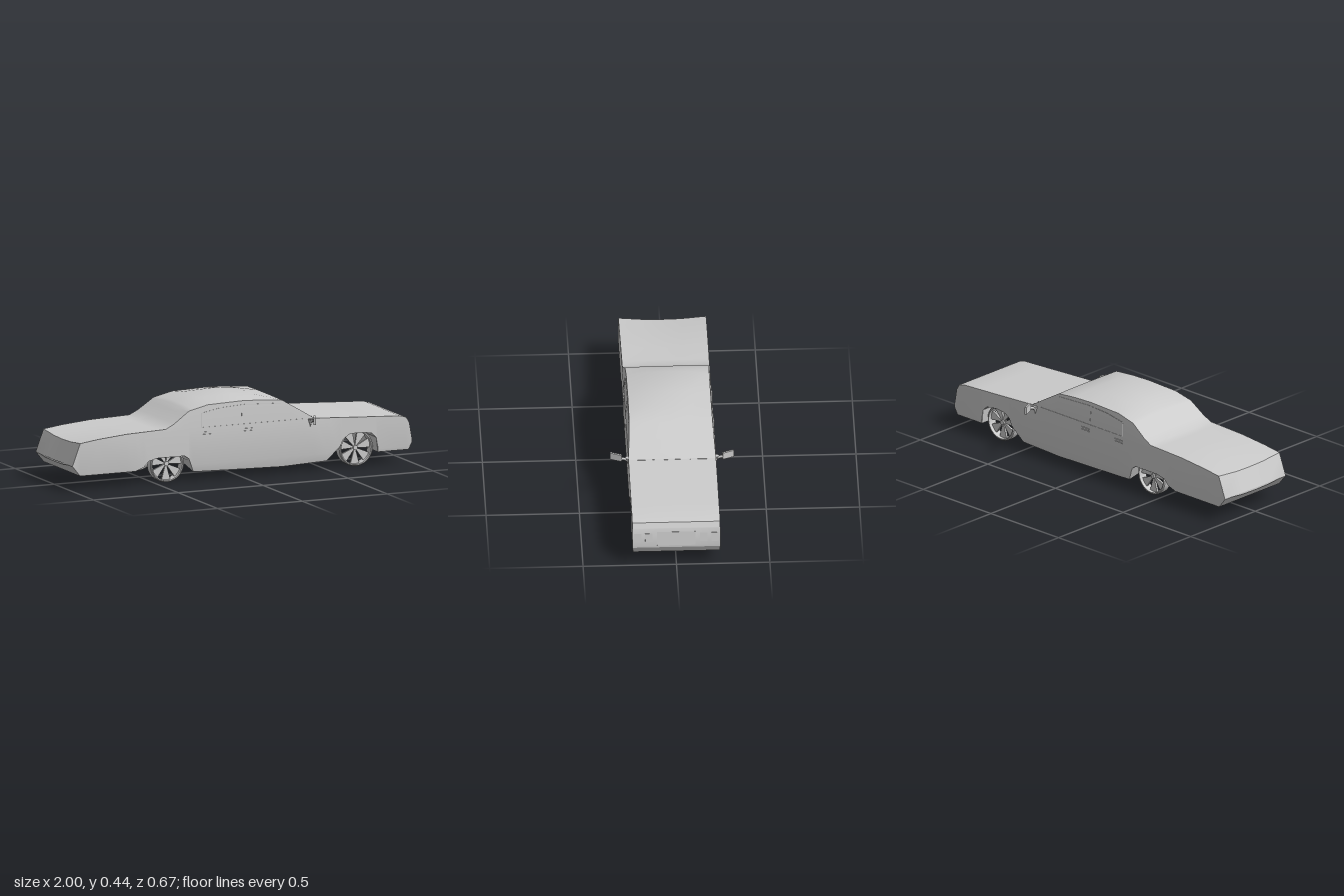
import * as THREE from 'three';
import { toCreasedNormals } from 'three/addons/utils/BufferGeometryUtils.js';

const material = new THREE.MeshStandardMaterial({ color: 0xcccccc, side: THREE.DoubleSide });

// Half width of the body at height y: tucked sills, upright flanks, leaning cabin.
function halfWidth(y) {
  if (y > 0.28) return 0.235 - (y - 0.28) * 0.1;
  if (y < 0.09) return 0.235 - (0.09 - y) * 0.24;
  return 0.235;
}

function add(parent, name, geometry, x = 0, y = 0, z = 0) {
  const mesh = new THREE.Mesh(geometry, material);
  mesh.name = name;
  mesh.position.set(x, y, z);
  parent.add(mesh);
  return mesh;
}

// Linear lookup in a list of [x, y] points
function at(points, x) {
  for (let i = 1; i < points.length; i++) {
    const [x0, y0] = points[i - 1], [x1, y1] = points[i];
    if (x <= x1) return y0 + (y1 - y0) * (x - x0) / (x1 - x0);
  }
  return points[points.length - 1][1];
}

// Side silhouette: top edge and underside with wheel arches
const TOP = [[-1, 0.14], [-0.955, 0.258], [-0.85, 0.272], [-0.68, 0.287], [-0.45, 0.295], [-0.4, 0.32],
  [-0.31, 0.382], [-0.2, 0.407], [0, 0.413], [0.12, 0.409], [0.24, 0.398], [0.33, 0.345], [0.425, 0.287],
  [0.7, 0.272], [0.93, 0.26], [0.965, 0.25], [0.983, 0.22], [1, 0.125]];
const BOTTOM = [[-1, 0.135], [-0.955, 0.08], [-0.63, 0.08], [-0.58, 0.1], [-0.55, 0.13], [-0.5, 0.142],
  [-0.34, 0.142], [-0.315, 0.125], [-0.285, 0.05], [0, 0.042], [0.24, 0.036], [0.5, 0.047], [0.575, 0.12],
  [0.595, 0.16], [0.63, 0.183], [0.69, 0.189], [0.76, 0.18], [0.788, 0.155], [0.8, 0.073],
  [0.98, 0.073], [1, 0.113]];
const CROWN = [[-0.45, 0], [-0.31, 0.004], [-0.2, 0.02], [0, 0.022], [0.12, 0.014], [0.24, 0.002], [0.425, 0]];

function bodyGeometry() {
  const xs = [...new Set([...TOP, ...BOTTOM].map(p => p[0]))].sort((a, b) => a - b);
  const pos = [], index = [];
  let n = 0;
  for (const x of xs) {
    const top = at(TOP, x), low = at(BOTTOM, x);
    const crown = at(CROWN, x);
    const hollow = low < 0.06 ? 0.045 : 0;
    const belt = Math.max(low, Math.min(top, 0.28));
    const half = [[low, halfWidth(low)], [Math.min(belt, Math.max(low, 0.09)), 0.235],
      [belt, 0.235], [top, halfWidth(top)], [top + crown * 0.85, 0.1]];
    const loop = [[low + hollow, 0], ...half, [top + crown, 0],
      ...half.slice().reverse().map(([y, z]) => [y, -z])];
    n = loop.length;
    loop.forEach(([y, z]) => pos.push(x, y, z));
  }
  for (let i = 0; i < xs.length - 1; i++) {
    for (let j = 0; j < n; j++) {
      const a = i * n + j, b = i * n + (j + 1) % n;
      index.push(a, a + n, b, b, a + n, b + n);
    }
  }
  // Narrow end caps
  const last = (xs.length - 1) * n;
  for (let j = 1; j < n - 1; j++) {
    index.push(0, j, j + 1, last, last + j + 1, last + j);
  }
  const g = new THREE.BufferGeometry();
  g.setAttribute('position', new THREE.Float32BufferAttribute(pos, 3));
  g.setIndex(index);
  return toCreasedNormals(g, 0.45);
}

// Tyre ring with flared blades around a small hub
function makeWheel(name, x, z) {
  const wheel = new THREE.Group();
  wheel.name = name;
  const profile = [[0.088, -0.026], [0.094, -0.026], [0.099, -0.021], [0.1, -0.012], [0.1, 0.012],
    [0.099, 0.021], [0.094, 0.026], [0.088, 0.026], [0.088, -0.026]].map(p => new THREE.Vector2(...p));
  add(wheel, 'tyre', toCreasedNormals(new THREE.LatheGeometry(profile, 40), 0.6)).rotation.x = Math.PI / 2;
  add(wheel, 'hub', new THREE.CylinderGeometry(0.013, 0.013, 0.03, 16)).rotation.x = Math.PI / 2;
  const blade = new THREE.Shape();
  blade.moveTo(0.006, -0.003);
  blade.lineTo(0.087, -0.026);
  blade.lineTo(0.091, 0);
  blade.lineTo(0.087, 0.026);
  blade.lineTo(0.006, 0.003);
  const bladeGeometry = new THREE.ExtrudeGeometry(blade, { depth: 0.012, bevelEnabled: false });
  for (let i = 0; i < 7; i++) {
    add(wheel, 'wheelBlade', bladeGeometry, 0, 0, -0.006).rotation.z = (i + 0.25) * Math.PI * 2 / 7;
  }
  wheel.position.set(x, 0.1, z);
  return wheel;
}

// Thin trim lying on the flank between two side points
function sideTrim(parent, name, side, [x0, y0], [x1, y1]) {
  const a = new THREE.Vector3(x0, y0, side * halfWidth(y0));
  const b = new THREE.Vector3(x1, y1, side * halfWidth(y1));
  const mesh = add(parent, name, new THREE.BoxGeometry(0.003, 0.003, a.distanceTo(b)));
  mesh.position.copy(a).lerp(b, 0.5);
  mesh.lookAt(b);
}

export function createModel() {
  const car = new THREE.Group();
  car.name = 'sedan';
  add(car, 'body', bodyGeometry());

  for (const side of [1, -1]) {
    car.add(makeWheel('frontWheel', 0.683, side * 0.184));
    car.add(makeWheel('rearWheel', -0.43, side * 0.184));

    // Window outlines and centre pillar
    const outline = [[0.36, 0.288], [-0.24, 0.288], [-0.235, 0.365], [-0.12, 0.385], [0.02, 0.392], [0.23, 0.382]];
    for (let i = 1; i < outline.length; i++) sideTrim(car, 'windowTrim', side, outline[i - 1], outline[i]);
    sideTrim(car, 'pillarTrim', side, [0, 0.288], [0, 0.391]);

    // Door handles
    for (const x of [-0.215, 0.03]) {
      for (const y of [0.249, 0.262]) {
        add(car, 'doorHandle', new THREE.BoxGeometry(0.055, 0.005, 0.008), x, y, side * 0.236);
      }
    }

    // Wing mirror on a curved stalk
    const mirror = new THREE.Group();
    mirror.name = 'wingMirror';
    const stalk = new THREE.CatmullRomCurve3([new THREE.Vector3(0.4, 0.265, 0.233),
      new THREE.Vector3(0.402, 0.278, 0.25), new THREE.Vector3(0.405, 0.285, 0.276)]);
    add(mirror, 'mirrorStalk', new THREE.TubeGeometry(stalk, 8, 0.008, 8));
    const foot = add(mirror, 'mirrorFoot', new THREE.ConeGeometry(0.014, 0.045, 10), 0.4, 0.264, 0.237);
    foot.rotation.x = Math.PI;
    add(mirror, 'mirrorHousing', new THREE.BoxGeometry(0.011, 0.04, 0.066), 0.395, 0.289, 0.3).rotation.y = -0.4;
    mirror.scale.z = side;
    car.add(mirror);
  }

  // Nose panels, tilted to match the front face
  const face = (name, y, z, h, w) => {
    const panel = add(car, name, new THREE.BoxGeometry(0.004, h, w), at([[0.125, 1], [0.22, 0.983]], y), y, z);
    panel.rotation.z = 0.177;
  };
  face('grille', 0.164, 0, 0.078, 0.206);
  for (const z of [-0.207, -0.147, 0.147, 0.207]) face('headlight', 0.17, z, 0.05, 0.04);

  // Cowl vents at the base of the windscreen
  for (const z of [-0.14, 0, 0.14]) {
    add(car, 'cowlVent', new THREE.BoxGeometry(0.006, 0.004, 0.09), 0.427, 0.287, z);
  }
  return car;
}
